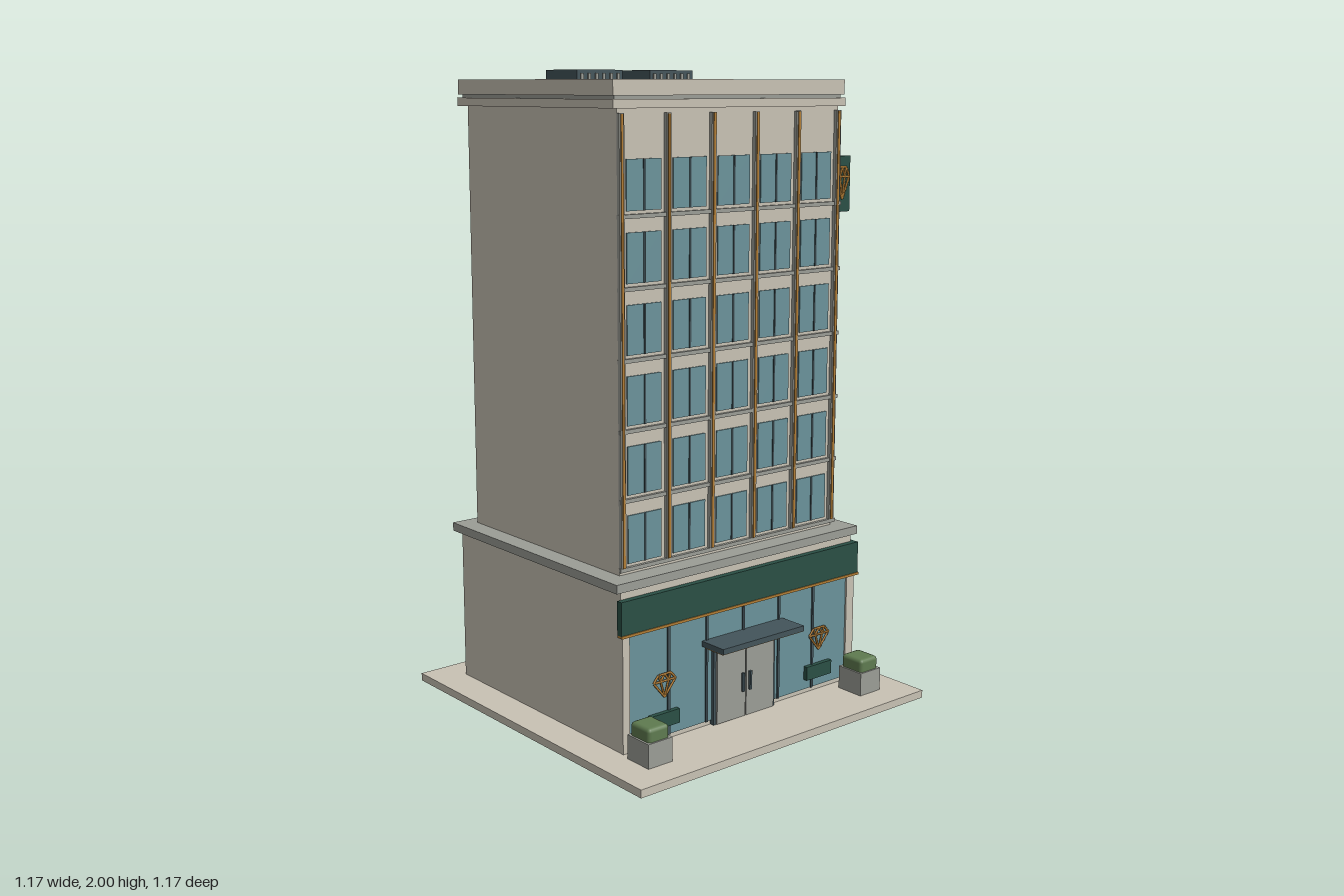
import * as THREE from 'three';
import { RoundedBoxGeometry } from 'three/addons/geometries/RoundedBoxGeometry.js';

const mat = (name, color) => {
  const m = new THREE.MeshStandardMaterial({ color });
  m.name = name;
  return m;
};

export function createModel() {
  const stone = mat('stone', 0xc8c2b4);
  const trim = mat('trim grey', 0x9b9d96);
  const glass = mat('glass', 0x6b939b);
  const slate = mat('dark slate', 0x43545a);
  const green = mat('deep green', 0x2a4f45);
  const gold = mat('gold', 0xb27d35);
  const leaf = mat('leaf', 0x5f7b50);

  const model = new THREE.Group();
  model.name = 'cornerBuilding';

  // Box given by its extents on each axis
  const box = (name, material, x0, x1, y0, y1, z0, z1, parent = model) => {
    const m = new THREE.Mesh(new THREE.BoxGeometry(x1 - x0, y1 - y0, z1 - z0), material);
    m.position.set((x0 + x1) / 2, (y0 + y1) / 2, (z0 + z1) / 2);
    m.name = name;
    parent.add(m);
    return m;
  };
  const group = (name) => {
    const g = new THREE.Group();
    g.name = name;
    model.add(g);
    return g;
  };

  // Pavement and podium
  box('pavement', stone, -0.585, 0.585, 0, 0.025, -0.585, 0.585);
  box('podium', stone, -0.475, 0.475, 0.025, 0.52, -0.485, 0.355);
  box('podiumCornice', trim, -0.497, 0.493, 0.52, 0.547, -0.505, 0.367);
  box('fasciaFront', green, -0.487, 0.487, 0.392, 0.495, 0.355, 0.375);
  box('fasciaSide', green, 0.475, 0.49, 0.392, 0.495, -0.49, 0.375);
  box('fasciaTrimFront', gold, -0.487, 0.493, 0.385, 0.393, 0.355, 0.378);
  box('fasciaTrimSide', gold, 0.475, 0.493, 0.385, 0.393, -0.49, 0.36);

  // Shop windows with mullions and corner posts
  const shop = group('shopWindows');
  box('shopGlassFront', glass, -0.45, 0.45, 0.04, 0.388, 0.355, 0.36, shop);
  box('shopGlassSide', glass, 0.475, 0.479, 0.04, 0.388, -0.465, 0.335, shop);
  for (const x of [-0.3, -0.15, 0, 0.15, 0.3])
    box('shopMullionFront', slate, x - 0.004, x + 0.004, 0.04, 0.388, 0.355, 0.365, shop);
  for (const z of [0.165, 0.018, -0.13, -0.277, -0.424, -0.46])
    box('shopMullionSide', slate, 0.475, 0.483, 0.04, 0.388, z - 0.004, z + 0.004, shop);
  box('cornerPostLeft', stone, 0.45, 0.483, 0.025, 0.388, 0.335, 0.366, shop);
  box('cornerPostRight', stone, -0.476, -0.45, 0.025, 0.388, 0.355, 0.366, shop);

  // Entrance
  const entrance = group('entrance');
  box('doorFrame', slate, -0.128, 0.128, 0.025, 0.275, 0.355, 0.37, entrance);
  for (const s of [-1, 1]) {
    const at = (name, material, a, b, ...rest) =>
      box(name, material, Math.min(s * a, s * b), Math.max(s * a, s * b), ...rest, entrance);
    at('doorLeaf', trim, 0.002, 0.118, 0.027, 0.262, 0.36, 0.376);
    at('doorHandle', slate, 0.011, 0.019, 0.11, 0.17, 0.376, 0.384);
  }
  box('canopy', slate, -0.168, 0.168, 0.286, 0.303, 0.355, 0.458, entrance);
  box('canopyTrim', gold, -0.168, 0.168, 0.284, 0.287, 0.375, 0.456, entrance);
  box('backDoor', slate, -0.112, 0.112, 0.027, 0.29, -0.491, -0.484);

  // Gem outline made of thin rods
  const gem = (x, y, z, w, h) => {
    const p = [[-0.28, 0.5], [0.28, 0.5], [0.5, 0.2], [0, -0.5], [-0.5, 0.2], [-0.18, 0.2], [0.18, 0.2], [0, 0.5]]
      .map(([a, b]) => new THREE.Vector3(x + a * w, y + b * h, z));
    const g = group('gemOrnament');
    for (const [a, b] of [[0, 1], [1, 2], [2, 3], [3, 4], [4, 0], [4, 2], [5, 3], [6, 3], [0, 5], [5, 7], [7, 6], [6, 1]]) {
      const line = new THREE.LineCurve3(p[a], p[b]);
      const rod = new THREE.Mesh(new THREE.TubeGeometry(line, 1, 0.0035, 6), gold);
      rod.name = 'gemRod';
      g.add(rod);
    }
  };

  // Display plinths, gems and planters on both sides of the door
  for (const s of [-1, 1]) {
    const x = s * 0.322;
    gem(x, 0.203, 0.37, 0.085, 0.072);
    box('displayPlinth', green, x - 0.055, x + 0.055, 0.073, 0.118, 0.355, 0.375);
    const px = s * 0.438;
    box('planter', trim, px - 0.045, px + 0.045, 0.025, 0.1, 0.395, 0.492);
    const bush = new THREE.Mesh(new RoundedBoxGeometry(0.078, 0.07, 0.088, 2, 0.012), leaf);
    bush.position.set(px, 0.106, 0.443);
    bush.name = 'bush';
    model.add(bush);
  }

  // Tower body
  const zF = 0.3, xS = 0.435;
  box('tower', stone, -0.435, xS, 0.54, 1.895, -0.455, zF);

  // Pilasters on the two street sides
  const pilasters = group('pilasters');
  for (let i = 0; i < 6; i++) {
    const x = -0.427 + i * 0.1708;
    box('pilasterFront', trim, x - 0.009, x + 0.009, 0.57, 1.877, zF, 0.312, pilasters);
    box('pilasterInlay', gold, x - 0.004, x + 0.004, 0.57, 1.875, zF, 0.315, pilasters);
  }
  for (const z of [0.293, 0.132, -0.029, -0.19, -0.351, -0.446])
    box('pilasterSide', trim, xS, 0.449, 0.57, 1.877, z - 0.008, z + 0.008, pilasters);

  // Floors: ledges, windows and mullions
  const floors = group('floors');
  for (let f = 0; f < 6; f++) {
    const y = 0.563 + f * 0.2055;
    box('ledgeFront', trim, -0.437, 0.447, y - 0.006, y + 0.006, zF, 0.31, floors);
    box('ledgeSide', trim, xS, 0.447, y - 0.006, y + 0.006, -0.455, 0.31, floors);
    const y0 = y + 0.015, y1 = y + 0.16;
    for (let i = -2; i <= 2; i++) {
      const x = i * 0.1708;
      box('windowFront', glass, x - 0.063, x + 0.063, y0, y1, zF, zF + 0.004, floors);
      box('windowMullion', slate, x - 0.003, x + 0.003, y0, y1, zF, zF + 0.007, floors);
    }
    for (let i = 0; i < 5; i++) {
      const z = 0.2125 - i * 0.161;
      box('windowSide', glass, xS, xS + 0.004, y0, y1, i < 4 ? z - 0.056 : -0.44, z + 0.056, floors);
    }
  }

  // Crown: cornice, recess, roof and parapet
  box('towerCornice', stone, -0.457, 0.455, 1.89, 1.915, -0.48, 0.312);
  box('roof', trim, -0.445, 0.443, 1.91, 1.935, -0.468, 0.302);
  const parapet = group('parapet');
  box('parapetFront', stone, -0.455, 0.453, 1.925, 1.97, 0.293, 0.309, parapet);
  box('parapetBack', stone, -0.455, 0.453, 1.925, 1.97, -0.477, -0.461, parapet);
  box('parapetRight', stone, -0.455, -0.439, 1.925, 1.97, -0.461, 0.293, parapet);
  box('parapetLeft', stone, 0.437, 0.453, 1.925, 1.97, -0.461, 0.293, parapet);

  // Rooftop air units with louvres
  for (const x of [-0.155, 0.13]) {
    box('airUnit', slate, x - 0.088, x + 0.088, 1.93, 2, -0.303, -0.142);
    for (let i = -2.5; i <= 2.5; i++)
      box('louvre', trim, x + i * 0.028 - 0.005, x + i * 0.028 + 0.005, 1.945, 1.99, -0.143, -0.138);
  }

  // Projecting blade sign
  box('bladeSign', green, 0.445, 0.512, 1.56, 1.735, 0.257, 0.283);
  gem(0.476, 1.65, 0.285, 0.06, 0.1);
  gem(0.476, 1.65, 0.255, 0.06, 0.1);

  return model;
}
